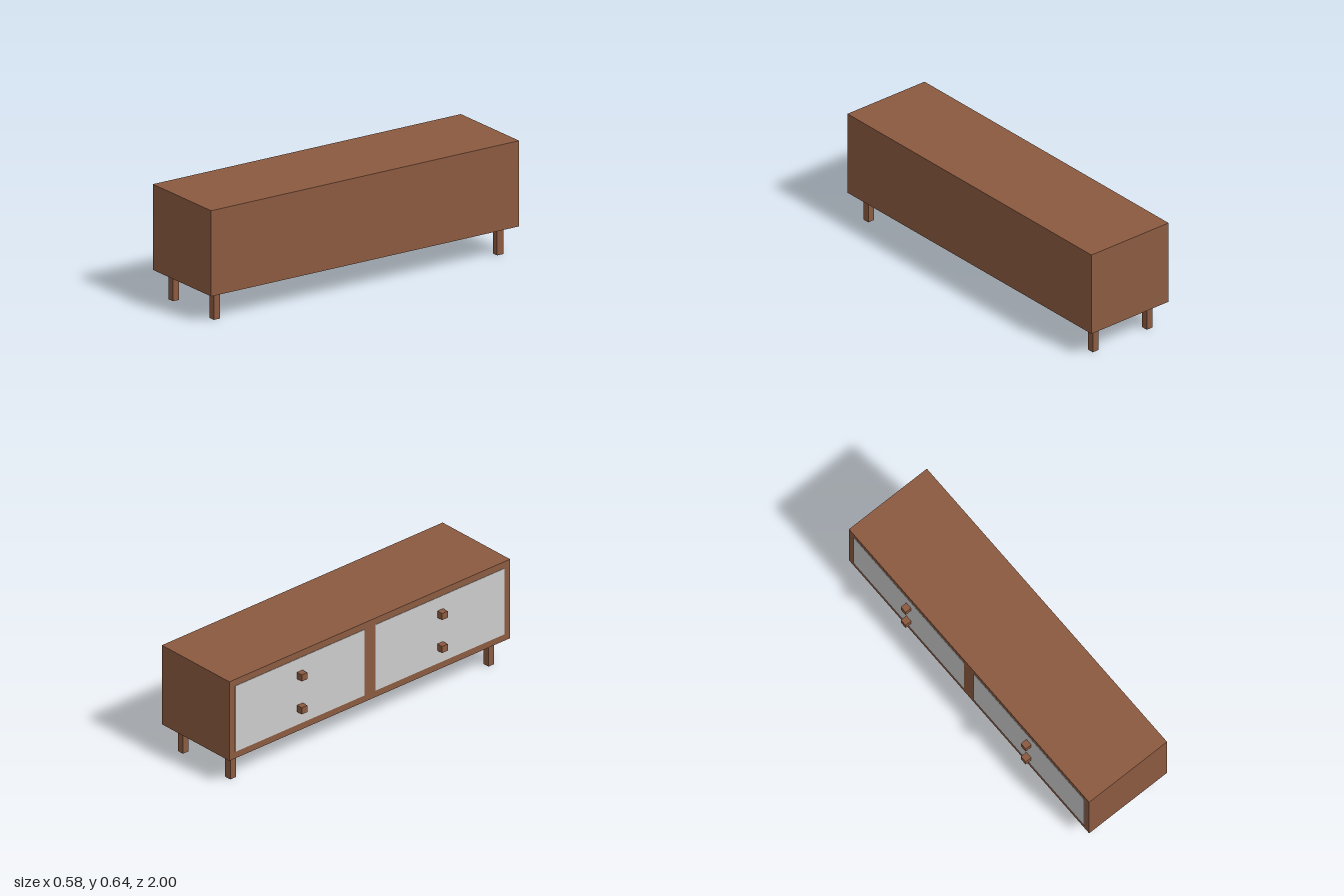
import * as THREE from 'three';

export function createModel() {
  const model = new THREE.Group();
  const wood = new THREE.MeshStandardMaterial({ color: 0x8b5a40 });
  const grey = new THREE.MeshStandardMaterial({ color: 0xcccccc });

  function addBox(name, material, size, position) {
    const mesh = new THREE.Mesh(new THREE.BoxGeometry(...size), material);
    mesh.name = name;
    mesh.position.set(...position);
    model.add(mesh);
  }

  // Long cabinet body; its doors face -x
  const faceX = -0.248;
  addBox('cabinetBody', wood, [0.536, 0.48, 2], [0.02, 0.4, 0]);

  for (const side of [-1, 1]) {
    // Door panel, practically flush with the frame around it
    addBox('doorPanel', grey, [0.02, 0.4, 0.92], [faceX + 0.008, 0.4, side * 0.5]);

    // Two square knobs on each door
    for (const y of [0.3, 0.5]) {
      addBox('knob', wood, [0.04, 0.04, 0.04], [faceX - 0.02, y, side * 0.5]);
    }

    // Square legs, set in from the corners
    for (const x of [-0.168, 0.208]) {
      addBox('leg', wood, [0.04, 0.16, 0.04], [x, 0.08, side * 0.92]);
    }
  }

  return model;
}
